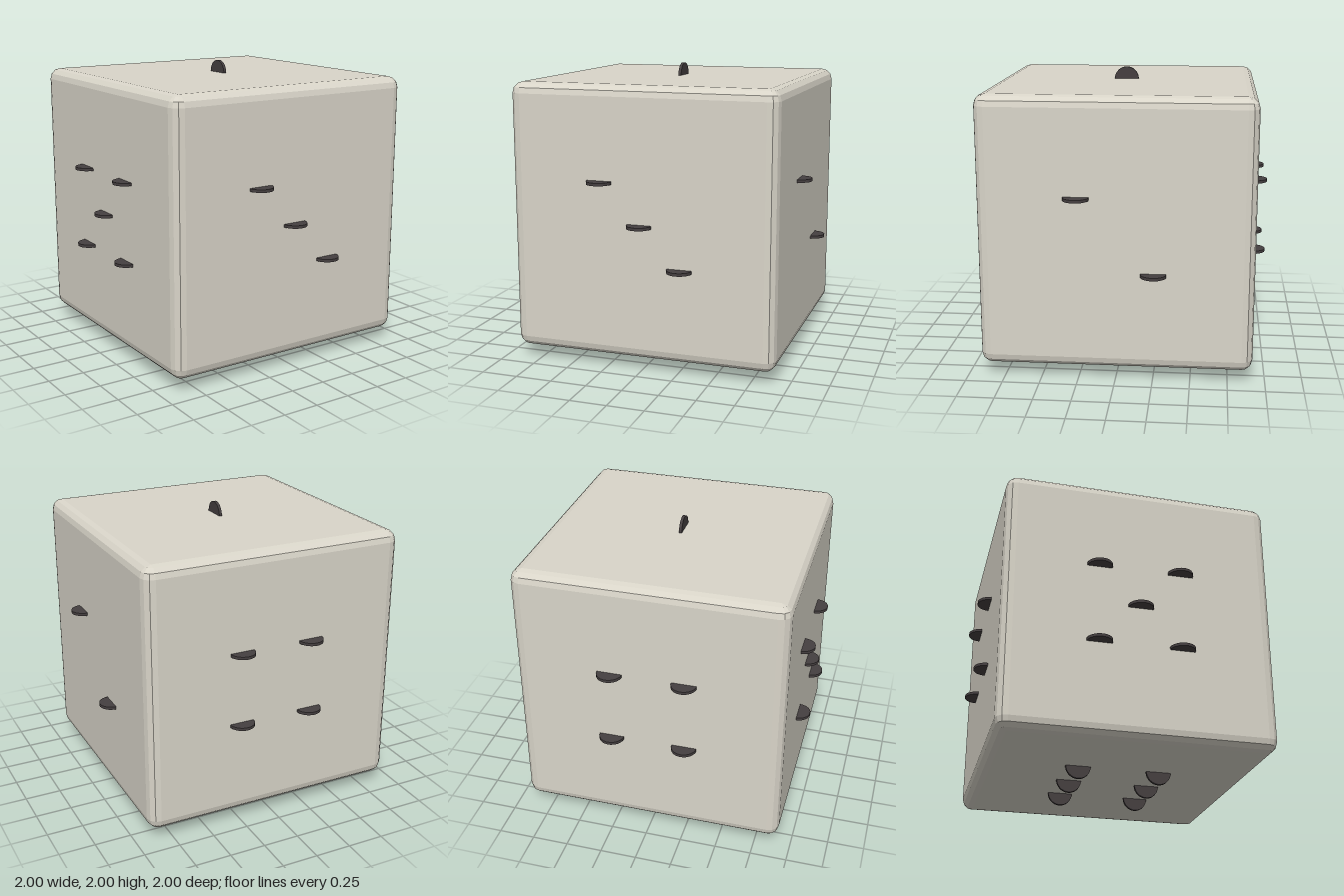
import * as THREE from 'three';
import { ConvexGeometry } from 'three/addons/geometries/ConvexGeometry.js';

const HALF = 0.915;    // half the cube's side
const BEVEL = 0.075;   // edge radius
const STEPS = 3;       // facets across each edge
const PIP_R = 0.085;
const PIP_T = 0.02;

// Cube with faceted round edges: the hull of eight small sphere octants
function bodyGeometry() {
  const points = [];
  const core = HALF - BEVEL;
  for (const sx of [-1, 1]) for (const sy of [-1, 1]) for (const sz of [-1, 1]) {
    for (let i = 0; i <= STEPS; i++) {
      const lat = (i / STEPS) * Math.PI / 2;
      const around = i === STEPS ? 0 : STEPS;
      for (let j = 0; j <= around; j++) {
        const lon = (j / STEPS) * Math.PI / 2;
        points.push(new THREE.Vector3(
          sx * (core + BEVEL * Math.cos(lat) * Math.cos(lon)),
          sy * (core + BEVEL * Math.sin(lat)),
          sz * (core + BEVEL * Math.cos(lat) * Math.sin(lon))
        ));
      }
    }
  }
  return new ConvexGeometry(points);
}

export function createModel() {
  const group = new THREE.Group();
  group.name = 'die';

  const bodyMat = new THREE.MeshStandardMaterial({ color: 0xd9d5c9, flatShading: true });
  const pipMat = new THREE.MeshStandardMaterial({ color: 0x453f40 });

  const body = new THREE.Mesh(bodyGeometry(), bodyMat);
  body.name = 'body';
  body.position.y = 1;
  group.add(body);

  // Pips are thin discs set edge-on, half sunk into each face
  const flatDisc = new THREE.CylinderGeometry(PIP_R, PIP_R, PIP_T, 32);
  const uprightDisc = flatDisc.clone().rotateZ(Math.PI / 2);

  const a = 0.2525, b = 0.277, c = 0.305;
  const square = (u, v) => [[-u, -v], [u, -v], [-u, v], [u, v]];

  // Each face: pip spots (u, v) and how they map to the cube's surface
  const faces = [
    { name: 'topPips', disc: uprightDisc, spots: [[0, 0]], at: (u, v) => [u, HALF, v] },
    { name: 'leftPips', disc: flatDisc, spots: [[a, a], [-a, -a]], at: (u, v) => [HALF, u, v] },
    { name: 'frontPips', disc: flatDisc, spots: [[-b, b], [0, 0], [b, -b]], at: (u, v) => [u, v, HALF] },
    { name: 'backPips', disc: flatDisc, spots: square(a, a), at: (u, v) => [u, v, -HALF] },
    { name: 'rightPips', disc: flatDisc, spots: [...square(b, b), [0, 0]], at: (u, v) => [-HALF, u, v] },
    { name: 'bottomPips', disc: uprightDisc, spots: [...square(c, b), [0, -b], [0, b]], at: (u, v) => [u, -HALF, v] },
  ];

  for (const { name, disc, spots, at } of faces) {
    const pips = new THREE.Group();
    pips.name = name;
    pips.position.y = 1;
    for (const [u, v] of spots) {
      const pip = new THREE.Mesh(disc, pipMat);
      pip.name = 'pip';
      pip.position.set(...at(u, v));
      pips.add(pip);
    }
    group.add(pips);
  }
  return group;
}
